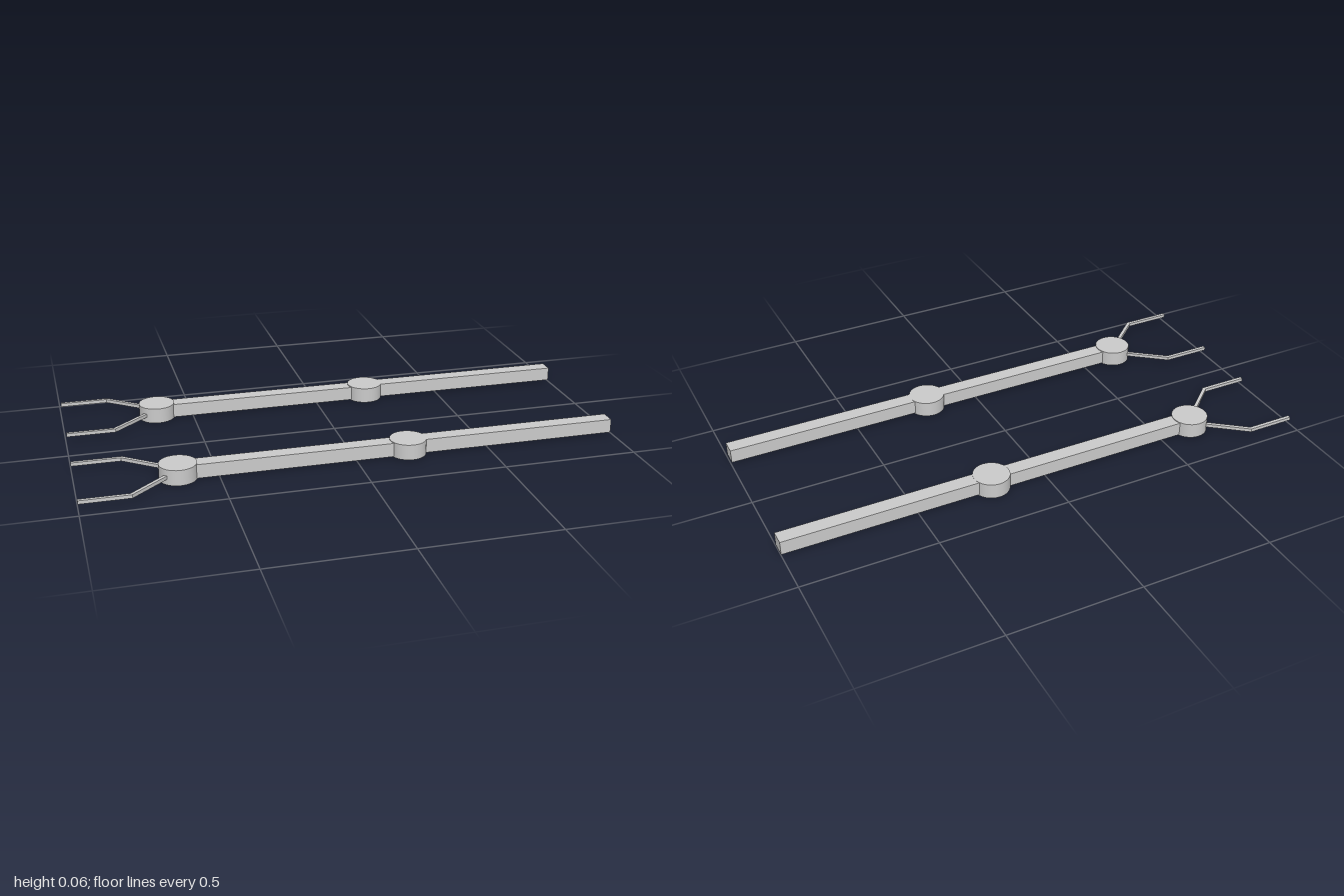
import * as THREE from 'three';

const material = new THREE.MeshStandardMaterial({ color: 0xcccccc });

function part(parent, name, geometry, x, y, z) {
  const mesh = new THREE.Mesh(geometry, material);
  mesh.name = name;
  mesh.position.set(x, y, z);
  parent.add(mesh);
}

// Bent square rod lying flat: sloped section from the wrist, then straight to the tip
function fingerGeometry(root, bend, tip, t) {
  const angle = Math.atan2(root.y - bend.y, root.x - bend.x);
  const h = t / 2;
  const slope = [-Math.sin(angle) * h, Math.cos(angle) * h];
  const miter = [-Math.tan(angle / 2) * h, h];
  const side = (s) => [
    new THREE.Vector2(tip.x, tip.y + s * h),
    new THREE.Vector2(bend.x + s * miter[0], bend.y + s * miter[1]),
    new THREE.Vector2(root.x + s * slope[0], root.y + s * slope[1]),
  ];
  const shape = new THREE.Shape([...side(1), ...side(-1).reverse()]);
  const geometry = new THREE.ExtrudeGeometry(shape, { depth: t, bevelEnabled: false });
  geometry.translate(0, 0, -h);
  return geometry.rotateX(Math.PI / 2);
}

// One arm along x, centred on z = 0
function createArm() {
  const arm = new THREE.Group();
  const wristX = -0.638, elbowX = 0.204, endX = 1;

  // Beams
  part(arm, 'upperBeam', new THREE.BoxGeometry(endX - elbowX, 0.052, 0.058), (endX + elbowX) / 2, 0.031, 0);
  part(arm, 'lowerBeam', new THREE.BoxGeometry(elbowX - wristX, 0.052, 0.058), (elbowX + wristX) / 2, 0.029, 0);

  // Joint discs
  const disc = new THREE.CylinderGeometry(0.068, 0.068, 0.058, 32);
  part(arm, 'elbowJoint', disc, elbowX, 0.029, 0);
  part(arm, 'wristJoint', disc, wristX, 0.029, 0);

  // Gripper fingers
  const v = (x, y) => new THREE.Vector2(x, y);
  part(arm, 'backFinger', fingerGeometry(v(-0.675, -0.041), v(-0.817, -0.152), v(-0.996, -0.152), 0.013), 0, 0.028, 0);
  part(arm, 'frontFinger', fingerGeometry(v(-0.675, 0.034), v(-0.817, 0.161), v(-0.996, 0.161), 0.013), 0, 0.028, 0);
  return arm;
}

export function createModel() {
  const model = new THREE.Group();
  model.name = 'gripperArms';
  for (const [name, x, z] of [['backArm', 0, -0.296], ['frontArm', -0.004, 0.288]]) {
    const arm = createArm();
    arm.name = name;
    arm.position.set(x, 0, z);
    model.add(arm);
  }
  return model;
}
